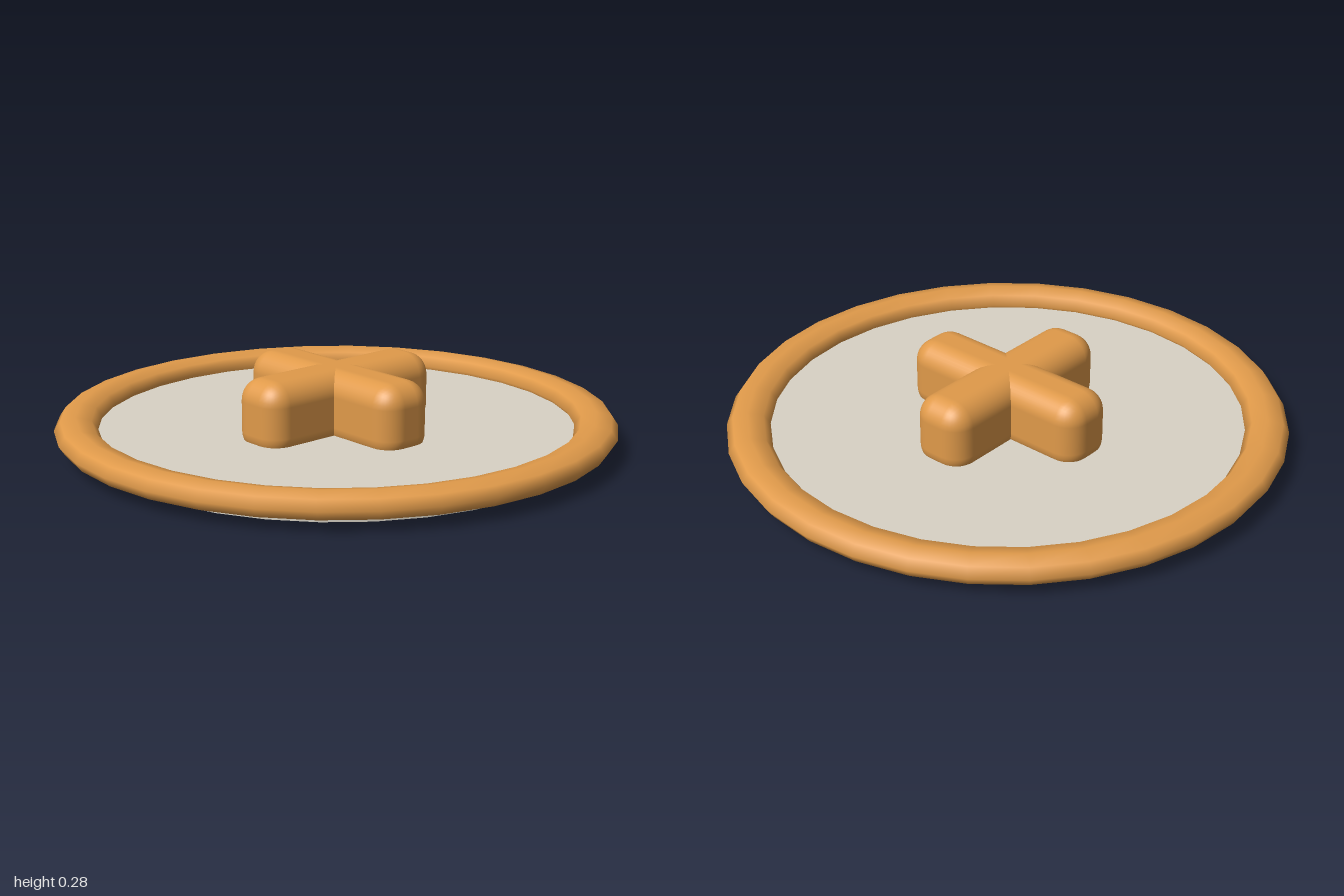
import * as THREE from 'three';
import { RoundedBoxGeometry } from 'three/addons/geometries/RoundedBoxGeometry.js';

export function createModel() {
  const model = new THREE.Group();
  model.name = 'roundLidWithCrossHandle';

  const orange = new THREE.MeshStandardMaterial({ color: 0xe09a4a });
  orange.name = 'warm orange';
  const stone = new THREE.MeshStandardMaterial({ color: 0xd8d2c5 });
  stone.name = 'pale stone';

  const add = (name, geometry, material, y) => {
    const mesh = new THREE.Mesh(geometry, material);
    mesh.name = name;
    mesh.position.y = y;
    model.add(mesh);
    return mesh;
  };

  // Flat base disc
  const discTop = 0.065;
  add('baseDisc', new THREE.CylinderGeometry(0.87, 0.87, discTop, 32), stone, discTop / 2);

  // Rim: a torus flattened in height
  const rim = new THREE.TorusGeometry(0.9225, 0.0775, 8, 32);
  rim.rotateX(-Math.PI / 2);
  rim.scale(1, 0.0475 / 0.0775, 1);
  add('rim', rim, orange, 0.078);

  // Cross handle: two rounded bars, sunk into the disc
  const top = 0.285, bottom = 0.015;
  for (const [name, turn] of [['crossBarSide', 0], ['crossBarFront', Math.PI / 2]]) {
    const bar = new RoundedBoxGeometry(0.77, top - bottom, 0.22, 4, 0.08);
    add(name, bar, orange, (top + bottom) / 2).rotation.y = turn;
  }

  return model;
}
